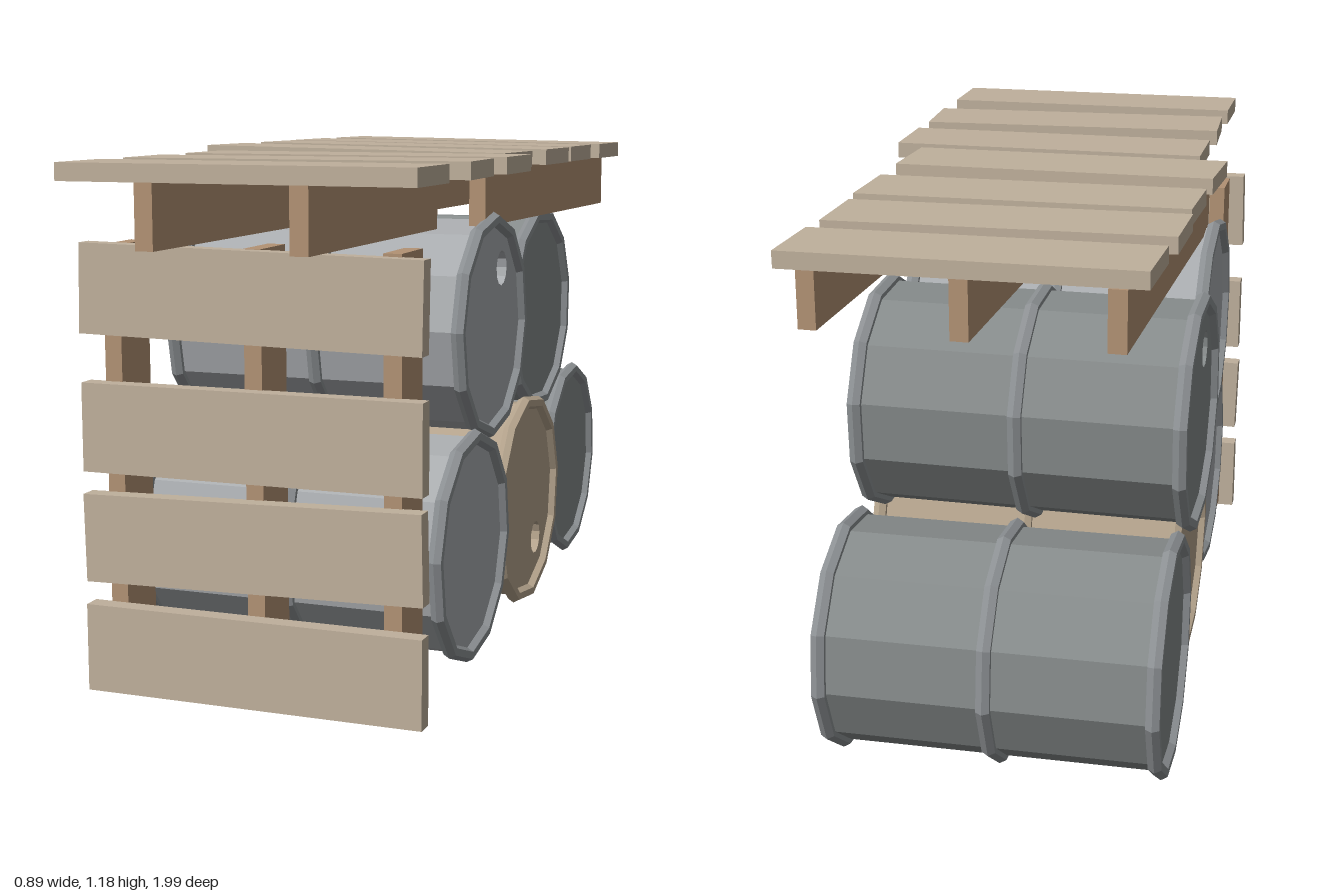
import * as THREE from 'three';

const mat = (color) => new THREE.MeshStandardMaterial({ color, flatShading: true });
const steel = mat(0xa8abae), darkSteel = mat(0x858a8a), rust = mat(0xb5a48d);
const rimSteel = mat(0x8d9194), slatWood = mat(0xbfb09c), beamWood = mat(0xb29274);

const SIDES = 12, RADIUS = 0.25, HALF = 0.355;

function add(parent, name, geometry, material, x = 0, y = 0, z = 0) {
  const mesh = new THREE.Mesh(geometry, material);
  mesh.name = name;
  mesh.position.set(x, y, z);
  parent.add(mesh);
  return mesh;
}

// Drum lying along local z, with the bung hole in its +z end
function makeDrum(material) {
  const drum = new THREE.Group();
  drum.name = 'drum';
  add(drum, 'drumShell',
    new THREE.CylinderGeometry(RADIUS, RADIUS, HALF * 2, SIDES, 1, true).rotateX(Math.PI / 2), material);

  // Polygonal lid pierced by the bung hole
  const corners = Array.from({ length: SIDES }, (_, i) => {
    const a = (i / SIDES) * Math.PI * 2;
    return new THREE.Vector2(Math.cos(a) * RADIUS, Math.sin(a) * RADIUS);
  });
  const lid = new THREE.Shape(corners);
  const hole = new THREE.Path();
  hole.absarc(0.155, 0, 0.042, 0, Math.PI * 2, true);
  lid.holes.push(hole);
  add(drum, 'lid', new THREE.ShapeGeometry(lid, 6), material, 0, 0, HALF);

  // Recessed bung
  const wall = new THREE.CylinderGeometry(0.042, 0.042, 0.04, 12, 1, true).rotateX(Math.PI / 2);
  const wallMat = material.clone();
  wallMat.side = THREE.DoubleSide;
  add(drum, 'bungWall', wall, wallMat, 0.155, 0, HALF - 0.02);
  add(drum, 'bungFloor', new THREE.CircleGeometry(0.042, 12), material, 0.155, 0, HALF - 0.04);

  add(drum, 'base', new THREE.CircleGeometry(RADIUS, SIDES).rotateY(Math.PI), material, 0, 0, -HALF);

  // End rims and middle hoop
  for (const z of [-HALF, 0, HALF]) {
    add(drum, z ? 'rim' : 'hoop', new THREE.TorusGeometry(0.252, 0.017, 6, SIDES),
      material === rust ? rust : rimSteel, 0, 0, z);
  }
  return drum;
}

// Row of boards: each is [name, material, size, position, rotation]
function makeBoards(name, boards) {
  const group = new THREE.Group();
  group.name = name;
  for (const [part, material, size, pos, rot = [0, 0, 0]] of boards) {
    add(group, part, new THREE.BoxGeometry(...size), material, ...pos).rotation.set(...rot);
  }
  return group;
}

export function createModel() {
  const model = new THREE.Group();
  model.name = 'stackedDrumsWithPallets';

  // Stack of five drums: centre, end facing, bung angle, small yaw, material
  const drums = [
    ['frontLowerDrum', [0.0, 0.29, 0.375], -1, 215, 0, steel],
    ['middleLowerDrum', [-0.02, 0.288, -0.155], 1, -53, 0, rust],
    ['backLowerDrum', [-0.06, 0.285, -0.722], -1, 158, 0.012, darkSteel],
    ['frontUpperDrum', [-0.03, 0.765, 0.135], 1, 57, 0, steel],
    ['backUpperDrum', [-0.07, 0.742, -0.435], -1, 48, -0.012, darkSteel],
  ];
  for (const [name, pos, facing, bungAngle, yaw, material] of drums) {
    const drum = makeDrum(material);
    drum.name = name;
    drum.position.set(...pos);
    drum.rotation.set(0, facing * Math.PI / 2 + yaw, THREE.MathUtils.degToRad(bungAngle));
    model.add(drum);
  }

  // Upright pallet leaning at the front
  const upright = [];
  for (const x of [-0.33, 0, 0.312]) {
    upright.push(['uprightBeam', beamWood, [0.04, 0.975, 0.13], [x, 0.502, 0.712], [0.008, 0, 0]]);
  }
  for (const [y, tilt] of [[0.1, 0], [0.356, 0.021], [0.594, 0], [0.89, -0.018]]) {
    upright.push(['uprightSlat', slatWood, [0.78, 0.196, 0.042], [0, y, 0.795], [0, 0, tilt]]);
  }
  model.add(makeBoards('uprightPallet', upright));

  // Broken front half of the pallet on top
  const frontTop = [];
  for (const x of [-0.135, 0.2]) {
    frontTop.push(['frontBeam', beamWood, [0.04, 0.137, 0.775], [x, 1.066, 0.612]]);
  }
  for (const [z, yaw] of [[0.903, 0], [0.603, 0.05], [0.311, 0]]) {
    frontTop.push(['frontSlat', slatWood, [0.775, 0.038, 0.192], [0.053, 1.153, z], [0, yaw, 0]]);
  }
  model.add(makeBoards('frontTopPallet', frontTop));

  // Rear half of the pallet on top, slightly twisted
  const backTop = [];
  for (const x of [-0.325, 0, 0.325]) {
    backTop.push(['backBeam', beamWood, [0.04, 0.133, 0.995], [x - 0.005, 1.069, -0.33 + x * 0.035], [0, -0.035, 0]]);
  }
  for (const [x, z, yaw] of [[0.007, -0.749, -0.037], [-0.008, -0.489, -0.022], [-0.006, -0.248, -0.037], [-0.017, 0.055, -0.058]]) {
    backTop.push(['backSlat', slatWood, [0.78, 0.038, 0.193], [x, 1.158, z], [0, yaw, -0.013]]);
  }
  model.add(makeBoards('backTopPallet', backTop));

  return model;
}
